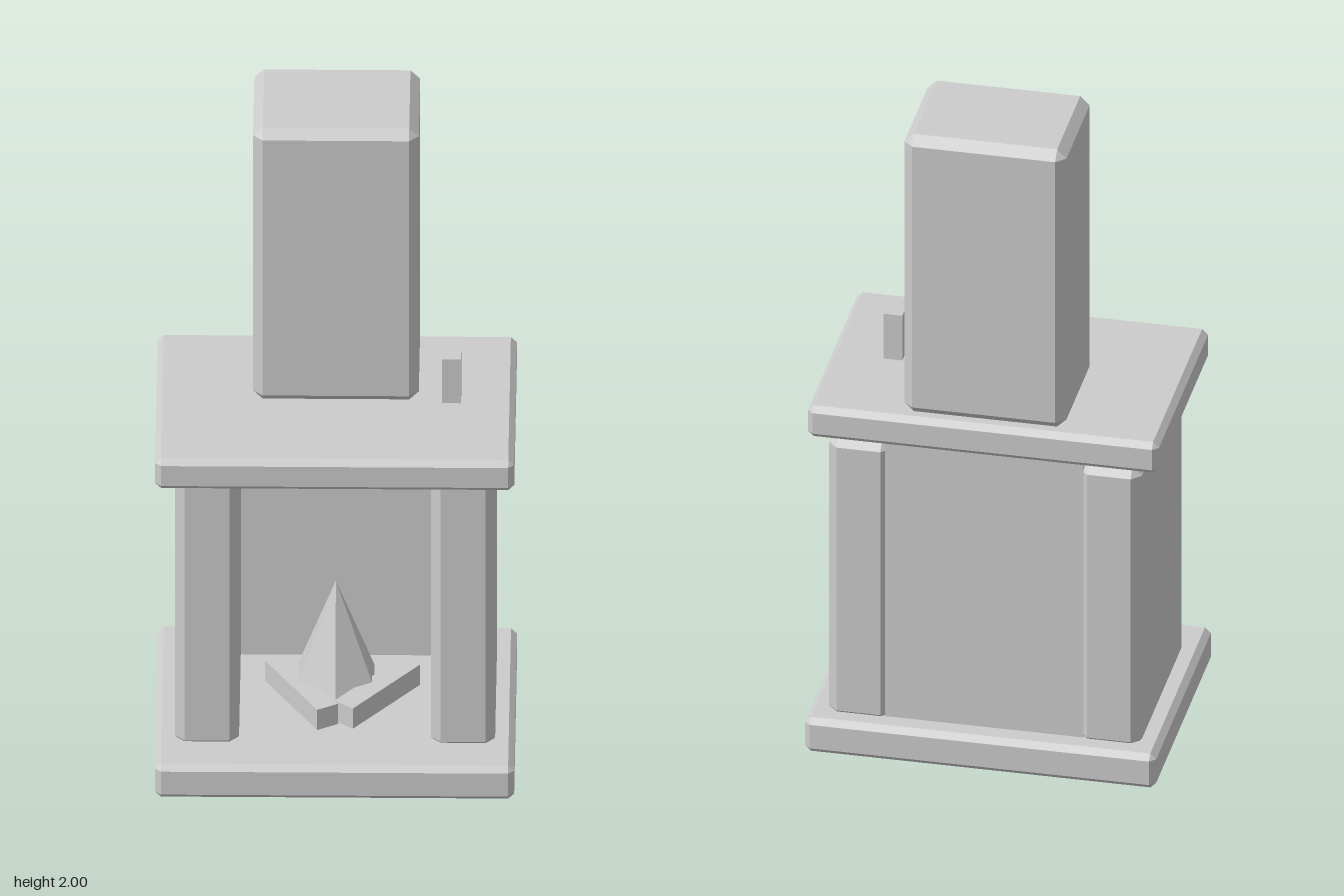
import * as THREE from 'three';
import { ConvexGeometry } from 'three/addons/geometries/ConvexGeometry.js';

const stone = new THREE.MeshStandardMaterial({ color: 0xcccccc });
stone.name = 'pale grey stone';

// Box between two corners with every edge chamfered by c
function chamferBox(min, max, c) {
  const mid = min.map((v, i) => (v + max[i]) / 2);
  const half = min.map((v, i) => (max[i] - v) / 2);
  const points = [];
  for (const sx of [-1, 1]) for (const sy of [-1, 1]) for (const sz of [-1, 1]) {
    const s = [sx, sy, sz];
    for (let full = 0; full < 3; full++) {
      points.push(new THREE.Vector3(...s.map((k, i) => mid[i] + k * (half[i] - (i === full ? 0 : c)))));
    }
  }
  return new ConvexGeometry(points);
}

function plainBox(min, max) {
  const geo = new THREE.BoxGeometry(...min.map((v, i) => max[i] - v));
  return geo.translate(...min.map((v, i) => (v + max[i]) / 2));
}

export function createModel() {
  const model = new THREE.Group();
  model.name = 'fireplace';
  const add = (name, geometry) => {
    const mesh = new THREE.Mesh(geometry, stone);
    mesh.name = name;
    model.add(mesh);
    return mesh;
  };

  // Slabs and chimney
  add('hearthBase', chamferBox([-0.505, 0, -0.38], [0.505, 0.11, 0.38], 0.017));
  add('mantel', chamferBox([-0.505, 1.0, -0.342], [0.505, 1.1, 0.342], 0.017));
  add('chimney', chamferBox([-0.233, 1.1, -0.325], [0.233, 2, 0.035], 0.027));

  // Side walls and back wall of the firebox
  add('leftWall', chamferBox([0.27, 0.09, -0.325], [0.45, 0.997, 0.252], 0.027));
  add('rightWall', chamferBox([-0.45, 0.09, -0.325], [-0.27, 0.997, 0.252], 0.027));
  add('backWall', plainBox([-0.285, 0.1, -0.315], [0.285, 1.01, -0.217]));

  // Candle on the mantel
  add('candle', plainBox([0.298, 1.09, -0.027], [0.352, 1.245, 0.027]));

  // Two logs meeting at the front
  for (const [name, x, angle] of [['leftLog', 0.117, 0.9], ['rightLog', -0.096, -1.05]]) {
    const log = add(name, new THREE.BoxGeometry(0.3, 0.067, 0.067));
    log.position.set(x, 0.184, 0.1);
    log.rotation.y = angle;
  }

  // Six-sided flame
  const flame = add('flame', new THREE.ConeGeometry(0.125, 0.317, 6).toNonIndexed());
  flame.geometry.computeVertexNormals();
  flame.position.set(0, 0.3585, 0.04);

  return model;
}
